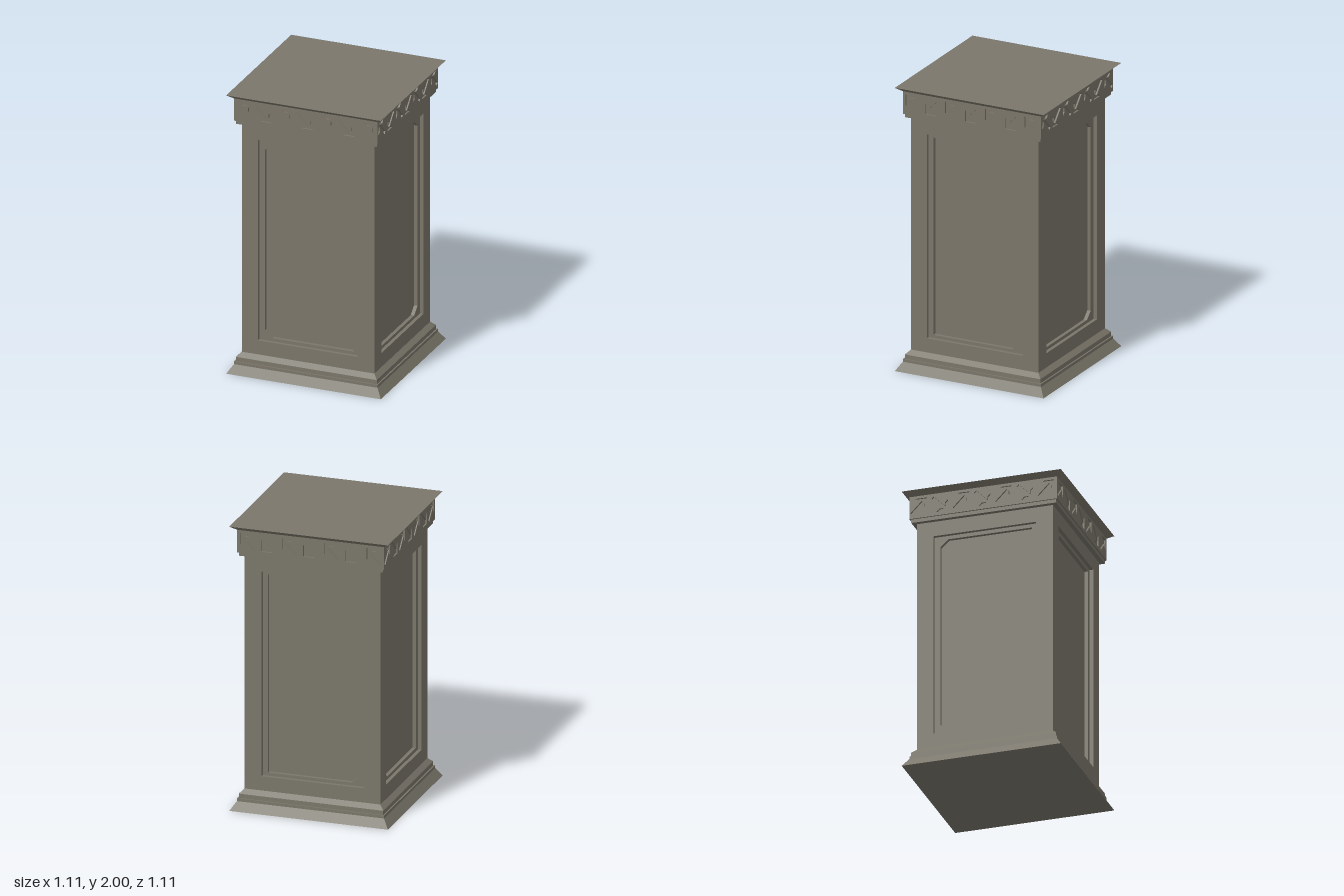
import * as THREE from 'three';
import { mergeGeometries } from 'three/addons/utils/BufferGeometryUtils.js';

const stone = new THREE.MeshStandardMaterial({ color: 0x7a766a });
stone.name = 'stone';

const SHAFT = 0.475, FRIEZE = 0.515;        // half widths
const LEDGE = 0.025, FLOOR = 0.05;          // panel depths
const ENGRAVE = 0.012;                      // arrow depth

// Square moulding swept around the y axis from a [halfWidth, y] profile
function moulding(profile) {
  const pts = profile.map(([r, y]) => new THREE.Vector2(r * Math.SQRT2, y));
  const geo = new THREE.LatheGeometry(pts, 4, Math.PI / 4).toNonIndexed();
  geo.computeVertexNormals();
  return geo;
}

// Counter-clockwise outline; side = -1 mirrors it
function outline(points, side = 1) {
  const pts = points.map(([x, y]) => new THREE.Vector2(x * side, y));
  return THREE.ShapeUtils.isClockWise(pts) ? pts.reverse() : pts;
}

const rect = (x0, y0, x1, y1) => [[x0, y0], [x1, y0], [x1, y1], [x0, y1]];

// Flat sheet with holes at height z
function sheet(points, holes, z) {
  const shape = new THREE.Shape(points);
  holes.forEach((h) => shape.holes.push(new THREE.Path(h)));
  return new THREE.ShapeGeometry(shape).toNonIndexed().translate(0, 0, z);
}

// Inward-facing walls of a recess
function walls(points, z0, z1) {
  const pos = [], uv = [];
  points.forEach((a, i) => {
    const b = points[(i + 1) % points.length];
    pos.push(a.x, a.y, z0, b.x, b.y, z0, b.x, b.y, z1);
    pos.push(a.x, a.y, z0, b.x, b.y, z1, a.x, a.y, z1);
    uv.push(0, 0, 1, 0, 1, 1, 0, 0, 1, 1, 0, 1);
  });
  const geo = new THREE.BufferGeometry();
  geo.setAttribute('position', new THREE.Float32BufferAttribute(pos, 3));
  geo.setAttribute('uv', new THREE.Float32BufferAttribute(uv, 2));
  geo.computeVertexNormals();
  return geo;
}

// Shaft face with a two-step recessed panel, clipped at two corners
function panelFace(side) {
  const face = outline(rect(-SHAFT, 0.14, SHAFT, 1.785));
  const outer = outline(rect(-0.36, 0.24, 0.356, 1.68), side);
  const inner = outline([[-0.265, 0.262], [0.32, 0.262], [0.32, 1.655],
    [-0.265, 1.655], [-0.32, 1.605], [-0.32, 0.31]], side);
  const z1 = SHAFT - LEDGE, z2 = SHAFT - FLOOR;
  return mergeGeometries([
    sheet(face, [outer], SHAFT), walls(outer, SHAFT, z1),
    sheet(outer, [inner], z1), walls(inner, z1, z2),
    sheet(inner, [], z2),
  ]);
}

// Frieze face with engraved arrows pointing up and down in turn
function friezeFace(side) {
  const arrow = [[1, 1], [0.3, 1], [0.47, 0.82], [0.69, 0.82], [0, 0.13],
    [0.13, 0], [0.82, 0.69], [0.82, 0.47], [1, 0.3]];
  const arrows = [];
  for (let i = 0; i < 7; i++) {
    const flip = i % 2 ? -1 : 1;
    arrows.push(outline(arrow.map(([u, v]) =>
      [-0.508 + i * 0.148 + u * 0.115, 1.893 + flip * (v - 0.5) * 0.116]), side));
  }
  const face = outline(rect(-FRIEZE, 1.81, FRIEZE, 1.97));
  const z = FRIEZE - ENGRAVE;
  const parts = [sheet(face, arrows, FRIEZE)];
  arrows.forEach((a) => parts.push(walls(a, FRIEZE, z), sheet(a, [], z)));
  return mergeGeometries(parts);
}

export function createModel() {
  const model = new THREE.Group();
  model.name = 'pedestal';
  const add = (name, geo, turn = 0) => {
    const mesh = new THREE.Mesh(geo, stone);
    mesh.name = name;
    mesh.rotation.y = turn;
    model.add(mesh);
  };

  // Stepped foot and crown
  add('base', moulding([[0, 0], [0.555, 0], [0.515, 0.06], [0.515, 0.08],
    [0.505, 0.08], [0.505, 0.11], [SHAFT, 0.14]]));
  add('neckMoulding', moulding([[SHAFT, 1.785], [0.505, 1.785], [0.505, 1.81], [FRIEZE, 1.81]]));
  add('topSlab', moulding([[FRIEZE, 1.97], [0.555, 2], [0, 2]]));

  // Four sides; right and back are mirrored
  [['front', 0, 1], ['left', Math.PI / 2, -1], ['back', Math.PI, -1], ['right', -Math.PI / 2, 1]]
    .forEach(([name, turn, side]) => {
      add(name + 'Panel', panelFace(side), turn);
      add(name + 'Frieze', friezeFace(side), turn);
    });
  return model;
}
